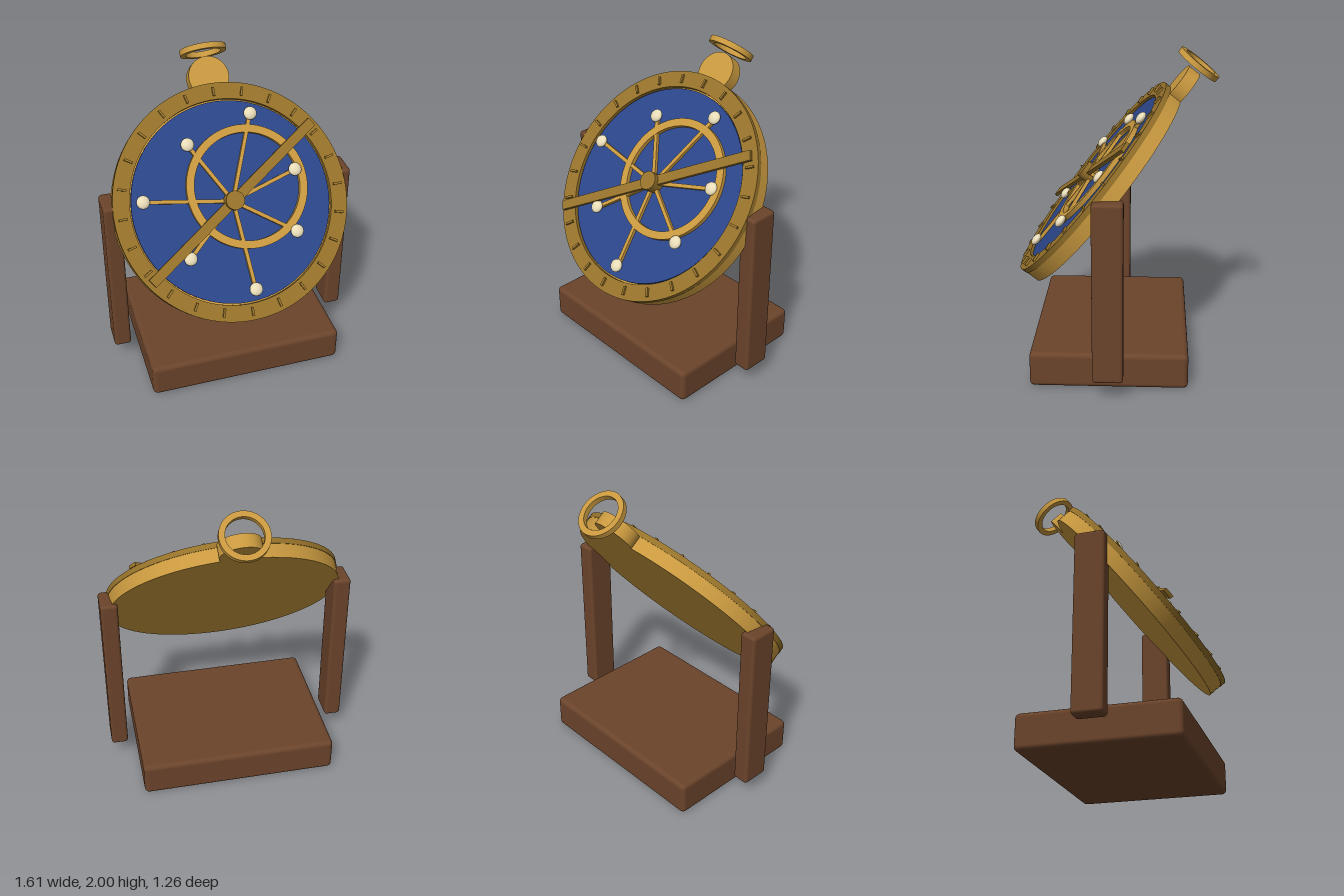
import * as THREE from 'three';
import { RoundedBoxGeometry } from 'three/addons/geometries/RoundedBoxGeometry.js';

const mat = (color) => new THREE.MeshStandardMaterial({ color });

export function createModel() {
  const gold = mat(0xc9993f), bronze = mat(0x96722a), blue = mat(0x2a4589);
  const wood = mat(0x6b442b), ivory = mat(0xe8dcb8);
  const model = new THREE.Group();

  const add = (parent, name, geometry, material, x = 0, y = 0, z = 0) => {
    const mesh = new THREE.Mesh(geometry, material);
    mesh.name = name;
    mesh.position.set(x, y, z);
    parent.add(mesh);
    return mesh;
  };
  // Disc facing +z between two depths
  const disc = (r, back, front, sides = 72) =>
    new THREE.CylinderGeometry(r, r, front - back, sides)
      .rotateX(Math.PI / 2).translate(0, 0, (back + front) / 2);
  // Flat ring facing +z, turned from a rectangular section
  const ring = (inner, outer, back, front, sides = 72) => {
    const shape = new THREE.Shape().absarc(0, 0, outer, 0, Math.PI * 2);
    shape.holes.push(new THREE.Path().absarc(0, 0, inner, 0, Math.PI * 2, true));
    return new THREE.ExtrudeGeometry(shape, {
      depth: front - back, bevelEnabled: false, curveSegments: sides,
    }).translate(0, 0, back);
  };

  // Wooden stand
  add(model, 'base', new RoundedBoxGeometry(1.27, 0.225, 0.975, 3, 0.03), wood, 0, 0.1125, 0.03);
  for (const side of [-1, 1]) {
    add(model, side > 0 ? 'leftPost' : 'rightPost',
      new RoundedBoxGeometry(0.11, 1.12, 0.185, 3, 0.02), wood, side * 0.75, 0.68, 0.028);
  }

  // Tilted instrument; its z = 0 is the face of the graduated limb
  const instrument = new THREE.Group();
  instrument.name = 'instrument';
  instrument.position.set(0, 1.18, 0.165);
  instrument.rotation.x = -0.671;
  model.add(instrument);

  add(instrument, 'body', disc(0.747, -0.122, -0.03), gold);
  add(instrument, 'facePlate', disc(0.636, -0.03, -0.014), blue);
  add(instrument, 'limb', ring(0.645, 0.75, -0.035, 0), bronze);

  // Degree marks around the limb
  for (let i = 0; i < 24; i++) {
    const a = (i / 24) * Math.PI * 2;
    const mark = add(instrument, 'degreeMark', new THREE.BoxGeometry(0.055, 0.014, 0.022), bronze,
      Math.cos(a) * 0.695, Math.sin(a) * 0.695, 0.003);
    mark.rotation.z = a;
  }

  // Off-centre ring and star pointers
  add(instrument, 'eclipticRing', ring(0.34, 0.39, -0.015, 0.015), gold, 0.108, 0.076, 0);
  for (let i = 0; i < 7; i++) {
    const pointer = new THREE.Group();
    pointer.name = 'starPointer';
    pointer.rotation.z = 0.3 + (i * Math.PI * 2) / 7;
    instrument.add(pointer);
    const length = i % 2 ? 0.565 : 0.45;
    add(pointer, 'pointerArm', new THREE.BoxGeometry(length, 0.024, 0.022), gold, length / 2, 0, 0.002);
    add(pointer, 'starBead', new THREE.SphereGeometry(0.042, 24, 16), ivory, length, 0, 0.017)
      .scale.z = 0.6;
  }

  // Sighting bar and pivot
  add(instrument, 'sightingBar', new THREE.BoxGeometry(1.44, 0.063, 0.022), bronze, 0, 0, 0.03)
    .rotation.z = 0.61;
  add(instrument, 'pivot', disc(0.06, -0.02, 0.07, 16), bronze);

  // Hanging lug and loop
  add(instrument, 'lug', disc(0.13, -0.122, -0.037, 48), gold, 0, 0.8, 0);
  add(instrument, 'hangingLoop', ring(0.112, 0.148, -0.018, 0.018, 48), gold, 0, 0.976, -0.076)
    .rotation.x = Math.PI / 2;

  return model;
}
